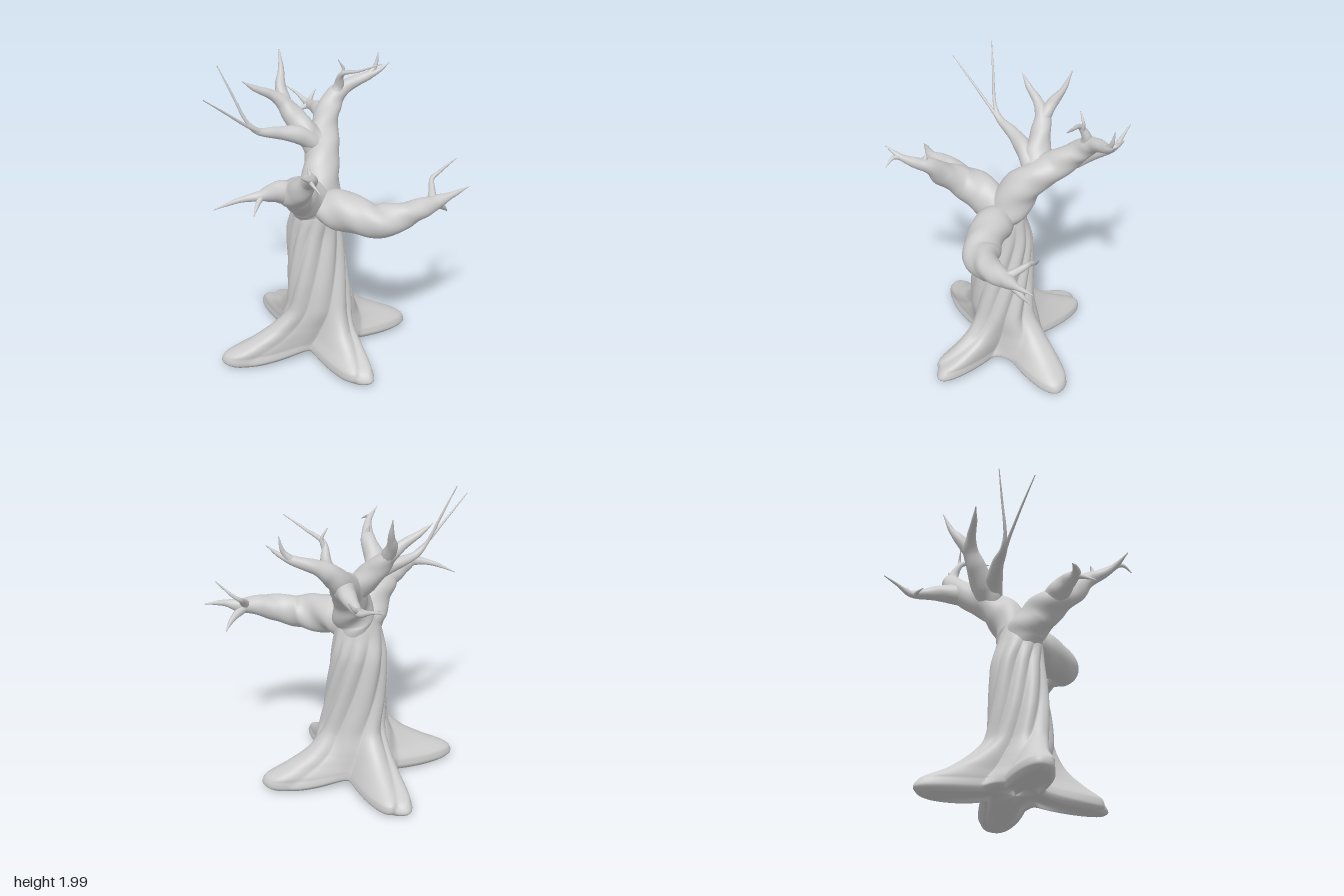
import * as THREE from 'three';
import { mergeVertices } from 'three/addons/utils/BufferGeometryUtils.js';

const material = new THREE.MeshStandardMaterial({ color: 0xcccccc, side: THREE.DoubleSide });

function addMesh(group, geometry, name) {
  geometry.deleteAttribute('uv');
  geometry.deleteAttribute('normal');
  const smooth = mergeVertices(geometry, 1e-5);
  smooth.computeVertexNormals();
  const mesh = new THREE.Mesh(smooth, material);
  mesh.name = name;
  group.add(mesh);
}

// Tapered limb through points [x, y, z, radius], with spiral ridges on thick parts
function limb(group, name, pts) {
  const curve = new THREE.CatmullRomCurve3(pts.map(p => new THREE.Vector3(p[0], p[1], p[2])));
  const thick = pts[0][3] > 0.06;
  const rings = pts.length * 8, sides = thick ? 32 : 10;
  const geo = new THREE.TubeGeometry(curve, rings, 1, sides, false);
  const pos = geo.attributes.position, v = new THREE.Vector3();
  for (let i = 0; i <= rings; i++) {
    const c = curve.getPointAt(i / rings);
    const t = curve.getUtoTmapping(i / rings) * (pts.length - 1);
    const k = Math.min(Math.floor(t), pts.length - 2);
    const r = THREE.MathUtils.lerp(pts[k][3], pts[k + 1][3], THREE.MathUtils.smoothstep(t, k, k + 1) * 0.5 + (t - k) * 0.5);
    const ridge = Math.min(1, r / 0.1) * 0.05;
    for (let j = 0; j <= sides; j++) {
      const a = (j % sides) / sides * Math.PI * 2, n = i * (sides + 1) + j;
      const s = r * (1 + ridge * (Math.sin(2 * a + t * 2.8) + 0.8 * Math.sin(3 * a + t * 4.2)));
      v.fromBufferAttribute(pos, n).sub(c).multiplyScalar(s).add(c);
      pos.setXYZ(n, v.x, v.y, v.z);
    }
  }
  addMesh(group, geo, name);
}

// Trunk flaring into four roots: each ring is a circle blended with four long lobes
function trunk(group) {
  // y, centre x, centre z, trunk radius, root reach, root half width
  const rows = [
    [0.08, -0.09, 0, 0.001, 0.001, 0.001], [0.065, -0.09, 0, 0.12, 0.3, 0.07],
    [0.02, -0.09, 0, 0.17, 0.56, 0.09], [0.05, -0.09, 0, 0.19, 0.64, 0.115],
    [0.11, -0.09, 0, 0.195, 0.615, 0.11], [0.18, -0.08, 0, 0.198, 0.48, 0.1],
    [0.27, -0.07, 0.005, 0.198, 0.335, 0.092], [0.4, -0.05, 0.015, 0.193, 0.22, 0.085],
    [0.6, -0.062, 0.02, 0.18, 0.182, 0.08], [0.9, -0.085, 0.012, 0.157, 0.15, 0.075],
    [1.05, -0.075, 0.02, 0.138, 0.12, 0.07], [1.17, -0.07, 0.025, 0.115, 0.09, 0.06]];
  const axis = new THREE.CatmullRomCurve3(rows.map(r => new THREE.Vector3(r[1], r[0], r[2])), false, 'catmullrom', 0.4);
  const size = new THREE.CatmullRomCurve3(rows.map(r => new THREE.Vector3(r[3], r[4], r[5])), false, 'catmullrom', 0.4);
  // Direction in degrees, reach and width of each root
  const roots = [[-60, 1, 1.3], [24, 0.95, 1.05], [118, 1, 1.15], [205, 1.01, 1.2]];
  const H = 108, N = 200, pos = [], index = [];
  for (let i = 0; i <= H; i++) {
    const c = axis.getPoint(i / H), s = size.getPoint(i / H);
    const twist = 0.75 * Math.max(0, c.y - 0.1);
    const depth = 0.12 * (1 - THREE.MathUtils.smoothstep(c.y, 0.9, 1.12));
    for (let j = 0; j < N; j++) {
      const a = j / N * Math.PI * 2, phi = a + twist;
      let sum = s.x ** 6;
      for (const [angle, reach, width] of roots) {
        const d = phi - THREE.MathUtils.degToRad(angle);
        const co = Math.cos(d), si = Math.abs(Math.sin(d));
        if (co > 0) sum += ((co / (s.y * reach)) ** 2.9 + (si / (s.z * width)) ** 2.9) ** (-6 / 2.9);
      }
      // Twisting bark folds
      const q = phi + 0.8 * c.y;
      const fold = 1 + depth * (Math.abs(Math.sin(5 * q + 0.5 * Math.sin(2 * q))) - 0.62) + 0.025 * Math.sin(3 * q + 1);
      const r = sum ** (1 / 6) * fold;
      // Hem rises between the roots
      const lift = 0.05 * Math.max(0, 1 - c.y / 0.25) * (0.5 - 0.5 * Math.cos(4 * (a - 0.48)));
      pos.push(c.x + r * Math.cos(a), Math.max(0, c.y - 0.008 + lift), c.z + r * Math.sin(a));
      if (i < H) {
        const p = i * N + j, p1 = i * N + (j + 1) % N;
        index.push(p, p + N, p1, p + N, p1 + N, p1);
      }
    }
  }
  const geo = new THREE.BufferGeometry();
  geo.setAttribute('position', new THREE.Float32BufferAttribute(pos, 3));
  geo.setIndex(index);
  addMesh(group, geo, 'trunkAndRoots');
}

export function createModel() {
  const tree = new THREE.Group();
  tree.name = 'bareTree';
  trunk(tree);
  const parts = {
    // Left arm and its twigs
    leftArm: [[-0.01, 1.08, 0.025, 0.115], [0.1, 1.095, 0.02, 0.124], [0.25, 1.075, 0, 0.116], [0.37, 1.065, -0.04, 0.108],
      [0.47, 1.09, -0.13, 0.085], [0.54, 1.12, -0.22, 0.068], [0.6, 1.14, -0.33, 0.045], [0.66, 1.17, -0.42, 0.02], [0.71, 1.19, -0.54, 0.003]],
    leftArmUpperTwig: [[0.585, 1.14, -0.3, 0.035], [0.54, 1.19, -0.37, 0.022], [0.505, 1.235, -0.43, 0.015], [0.53, 1.27, -0.47, 0.011], [0.615, 1.365, -0.53, 0.003]],
    leftArmLowerTwig: [[0.58, 1.13, -0.33, 0.035], [0.6, 1.07, -0.41, 0.018], [0.595, 1.01, -0.48, 0.003]],
    // Front limb, forking both ways
    frontLimb: [[-0.08, 1.04, 0.045, 0.118], [-0.075, 1.14, 0.1, 0.125], [-0.06, 1.22, 0.2, 0.112], [-0.03, 1.28, 0.3, 0.1],
      [0.06, 1.36, 0.37, 0.075], [0.15, 1.46, 0.41, 0.05], [0.21, 1.5, 0.47, 0.035], [0.26, 1.55, 0.55, 0.02], [0.27, 1.61, 0.65, 0.003]],
    frontLimbTipTwig: [[0.24, 1.53, 0.52, 0.02], [0.29, 1.555, 0.58, 0.012], [0.36, 1.52, 0.6, 0.003]],
    frontLimbSideTwig: [[0.16, 1.46, 0.42, 0.035], [0.175, 1.51, 0.43, 0.018], [0.16, 1.56, 0.43, 0.003]],
    frontFork: [[-0.045, 1.28, 0.3, 0.08], [-0.07, 1.32, 0.38, 0.073], [-0.09, 1.34, 0.47, 0.05], [-0.11, 1.35, 0.55, 0.03],
      [-0.2, 1.33, 0.63, 0.016], [-0.32, 1.27, 0.72, 0.003]],
    frontForkTwig: [[-0.1, 1.35, 0.54, 0.024], [-0.085, 1.32, 0.6, 0.013], [-0.06, 1.28, 0.67, 0.003]],
    // Back limb, forking into two branches
    backLimb: [[-0.075, 1.06, 0, 0.12], [-0.07, 1.15, -0.02, 0.126], [-0.1, 1.28, -0.08, 0.118], [-0.15, 1.38, -0.17, 0.105],
      [-0.21, 1.46, -0.28, 0.09], [-0.25, 1.55, -0.39, 0.075], [-0.24, 1.62, -0.46, 0.06], [-0.2, 1.67, -0.53, 0.044], [-0.12, 1.715, -0.62, 0.03],
      [-0.06, 1.75, -0.67, 0.016], [0, 1.81, -0.72, 0.003]],
    backLimbTwig: [[-0.11, 1.72, -0.63, 0.026], [-0.08, 1.78, -0.67, 0.014], [-0.07, 1.87, -0.69, 0.003]],
    backInnerBranch: [[-0.24, 1.61, -0.44, 0.046], [-0.22, 1.69, -0.46, 0.032], [-0.18, 1.78, -0.43, 0.017], [-0.05, 1.83, -0.43, 0.009], [0.1, 1.9, -0.46, 0.003]],
    backInnerTwig: [[-0.19, 1.76, -0.44, 0.018], [-0.18, 1.81, -0.45, 0.01], [-0.2, 1.875, -0.42, 0.003]],
    backOuterBranch: [[-0.25, 1.49, -0.34, 0.07], [-0.35, 1.5, -0.43, 0.055], [-0.45, 1.48, -0.49, 0.035], [-0.52, 1.47, -0.53, 0.022],
      [-0.62, 1.51, -0.55, 0.01], [-0.72, 1.54, -0.56, 0.003]],
    backOuterTwigA: [[-0.5, 1.475, -0.52, 0.022], [-0.51, 1.5, -0.56, 0.013], [-0.5, 1.55, -0.6, 0.003]],
    backOuterTwigB: [[-0.49, 1.47, -0.51, 0.022], [-0.53, 1.45, -0.45, 0.011], [-0.55, 1.44, -0.37, 0.003]],
    // Upper right limb with two prongs
    upperLimb: [[-0.17, 1.39, -0.14, 0.082], [-0.24, 1.47, -0.13, 0.083], [-0.33, 1.57, -0.11, 0.066], [-0.4, 1.66, -0.09, 0.048],
      [-0.45, 1.72, -0.03, 0.03], [-0.5, 1.77, 0.05, 0.02], [-0.55, 1.83, 0.12, 0.003]],
    upperLimbProng: [[-0.39, 1.65, -0.1, 0.046], [-0.45, 1.74, -0.14, 0.035], [-0.48, 1.82, -0.19, 0.02], [-0.52, 1.94, -0.23, 0.003]],
    // Slim right limb ending in two long whips
    slimLimb: [[-0.18, 1.43, -0.12, 0.062], [-0.24, 1.49, -0.04, 0.058], [-0.32, 1.53, 0.08, 0.038], [-0.38, 1.57, 0.2, 0.022],
      [-0.42, 1.64, 0.25, 0.011], [-0.49, 1.82, 0.295, 0.007], [-0.56, 2.0, 0.34, 0.003]],
    slimLimbWhip: [[-0.37, 1.565, 0.19, 0.018], [-0.4, 1.63, 0.28, 0.01], [-0.44, 1.75, 0.42, 0.007], [-0.48, 1.88, 0.575, 0.003]],
  };
  for (const [name, pts] of Object.entries(parts)) limb(tree, name, pts);
  return tree;
}
